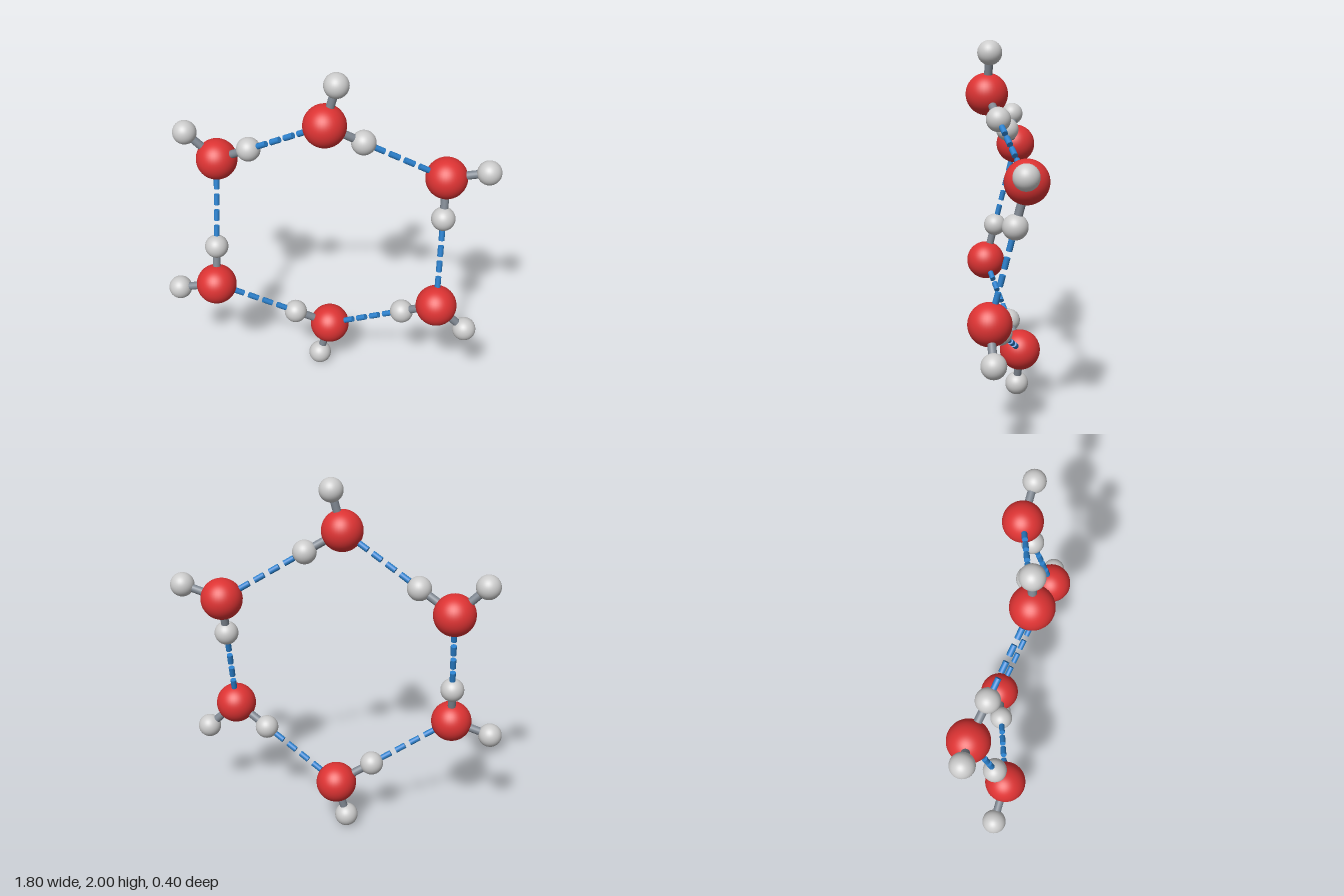
import * as THREE from 'three';

export function createModel() {
  const model = new THREE.Group();
  const material = (color) => new THREE.MeshStandardMaterial({ color });
  const red = material(0xdd3333), white = material(0xe6e6e8);
  const grey = material(0x808892), blue = material(0x2a80cc);

  const OXYGEN_R = 0.112, HYDROGEN_R = 0.065, CENTRE_Y = 1.003, RING_R = 0.714, PUCKER = 0.09;
  const oxygenGeo = new THREE.SphereGeometry(OXYGEN_R, 40, 28);
  const hydrogenGeo = new THREE.SphereGeometry(HYDROGEN_R, 32, 20);
  const UP = new THREE.Vector3(0, 1, 0);

  function ball(parent, name, geometry, mat, position) {
    const mesh = new THREE.Mesh(geometry, mat);
    mesh.name = name;
    mesh.position.copy(position);
    parent.add(mesh);
  }

  // Cylinder running from a to b
  function rod(parent, name, a, b, radius, mat) {
    const mesh = new THREE.Mesh(new THREE.CylinderGeometry(radius, radius, a.distanceTo(b), 20), mat);
    mesh.name = name;
    mesh.position.lerpVectors(a, b, 0.5);
    mesh.quaternion.setFromUnitVectors(UP, b.clone().sub(a).normalize());
    parent.add(mesh);
  }

  // Point given for the top molecule, turned clockwise to place i; z alternates
  function turned(i, x, y, z) {
    const p = new THREE.Vector3(x, y, i % 2 ? -z : z);
    p.applyAxisAngle(new THREE.Vector3(0, 0, 1), -i * Math.PI / 3);
    p.y += CENTRE_Y;
    return p;
  }
  const oxygenAt = (i) => turned(i, 0, RING_R, PUCKER);

  for (let i = 0; i < 6; i++) {
    // Water molecule: one hydrogen points along the ring, the other outward
    const molecule = new THREE.Group();
    molecule.name = 'waterMolecule';
    const oxygen = oxygenAt(i), next = oxygenAt(i + 1);
    const ringHydrogen = oxygen.clone().lerp(next, 0.31);
    const freeHydrogen = turned(i, 0.056, RING_R + 0.22, 0.075);
    ball(molecule, 'oxygen', oxygenGeo, red, oxygen);
    for (const hydrogen of [ringHydrogen, freeHydrogen]) {
      ball(molecule, 'hydrogen', hydrogenGeo, white, hydrogen);
      rod(molecule, 'bond', oxygen, hydrogen, 0.022, grey);
    }
    model.add(molecule);

    // Dashed hydrogen bond to the next oxygen
    const dashedBond = new THREE.Group();
    dashedBond.name = 'hydrogenBond';
    const direction = next.clone().sub(ringHydrogen).normalize();
    const start = ringHydrogen.clone().addScaledVector(direction, HYDROGEN_R);
    const end = next.clone().addScaledVector(direction, -OXYGEN_R);
    const step = start.distanceTo(end) / 3.64;
    for (let d = 0; d < 4; d++) {
      const a = start.clone().addScaledVector(direction, d * step);
      rod(dashedBond, 'dash', a, a.clone().addScaledVector(direction, 0.64 * step), 0.016, blue);
    }
    model.add(dashedBond);
  }
  return model;
}
